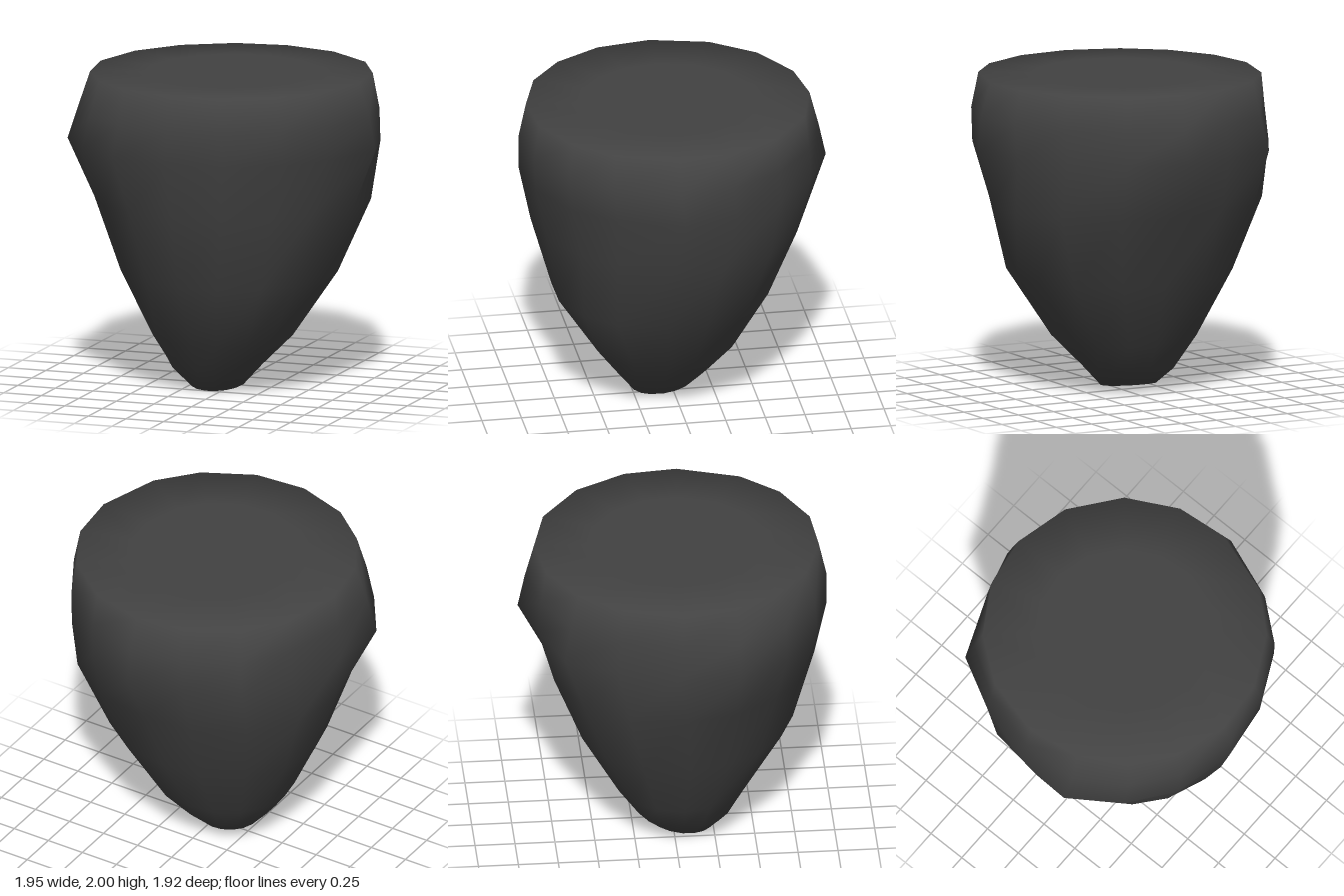
import * as THREE from 'three';

// Irregular plan outline (x, z), clockwise seen from above, starting at the back
const OUTLINE = [
  [0.04, -0.96], [0.39, -0.81], [0.69, -0.57], [0.88, -0.26],
  [0.97, 0.08], [0.80, 0.48], [0.60, 0.74], [0.26, 0.91],
  [-0.10, 0.96], [-0.48, 0.87], [-0.76, 0.66], [-0.97, 0.35],
  [-0.94, -0.03], [-0.82, -0.40], [-0.65, -0.72], [-0.30, -0.86],
];

// Cross-sections from tip to top: height, x range, z range, slope along z,
// roundness (0 = outline, 1 = ellipse),
// bulges [back right, back left, front left, front right]
const FLAT = [0, 0, 0, 0];
const SECTIONS = [
  [0.02, -0.08, -0.08, 0.05, 0.05, 0, 1, FLAT],
  [0.025, -0.25, 0.09, -0.135, 0.245, -0.12, 1, FLAT],
  [0.14, -0.35, 0.18, -0.22, 0.34, 0, 1, [0.02, 0.02, 0.03, 0.03]],
  [0.33, -0.49, 0.36, -0.36, 0.47, 0, 1, [0.01, 0.04, 0.05, 0]],
  [0.75, -0.69, 0.65, -0.58, 0.755, 0, 1, [0.05, 0.045, 0.025, -0.03]],
  [1.21, -0.855, 0.85, -0.76, 0.885, 0, 1, [0.06, 0.045, -0.06, -0.02]],
  [1.57, -0.975, 0.97, -0.96, 0.96, 0, 0, FLAT],
  [1.78, -0.925, 0.94, -0.91, 0.96, 0, 0.5, FLAT],
  [2, -0.875, 0.87, -0.85, 0.91, 0, 1, FLAT],
  [2, -0.52, 0.52, -0.5, 0.56, 0, 1, FLAT],
  [2, 0, 0, 0.03, 0.03, 0, 1, FLAT],
];

// Skin the sections into one closed, smooth-shaded surface
function loft() {
  const n = OUTLINE.length;
  const positions = [];
  const indices = [];
  SECTIONS.forEach(([y, x0, x1, z0, z1, slope, round, bulges], i) => {
    const cx = (x0 + x1) / 2, cz = (z0 + z1) / 2;
    OUTLINE.forEach(([ox, oz], j) => {
      const ux = ox / 0.97, uz = oz / 0.96;
      const angle = Math.atan2(uz, ux);
      const radius = THREE.MathUtils.lerp(Math.hypot(ux, uz), 1.01, round);
      // Swell each quadrant without moving the four axis extremes
      const quadrant = Math.min(3, Math.floor((angle + Math.PI) / (Math.PI / 2)));
      const bulge = bulges[quadrant] * Math.abs(Math.sin(2 * angle));
      const dx = Math.cos(angle) * (radius * (x1 - x0) / 2 + bulge);
      const dz = Math.sin(angle) * (radius * (z1 - z0) / 2 + bulge);
      positions.push(cx + dx, y + slope * dz, cz + dz);
      if (i === 0) return;
      const k = (j + 1) % n;
      const a = (i - 1) * n + j, b = (i - 1) * n + k;
      const c = i * n + j, d = i * n + k;
      if (i > 1) indices.push(a, c, b);
      if (i < SECTIONS.length - 1) indices.push(b, c, d);
    });
  });
  const geometry = new THREE.BufferGeometry();
  geometry.setAttribute('position', new THREE.Float32BufferAttribute(positions, 3));
  geometry.setIndex(indices);
  geometry.computeVertexNormals();
  return geometry;
}

export function createModel() {
  const group = new THREE.Group();
  group.name = 'taperedRock';
  // Dark boulder with a flat top and a blunt tip
  const rock = new THREE.Mesh(loft(), new THREE.MeshStandardMaterial({ color: 0x424242 }));
  rock.name = 'rock';
  group.add(rock);
  return group;
}
